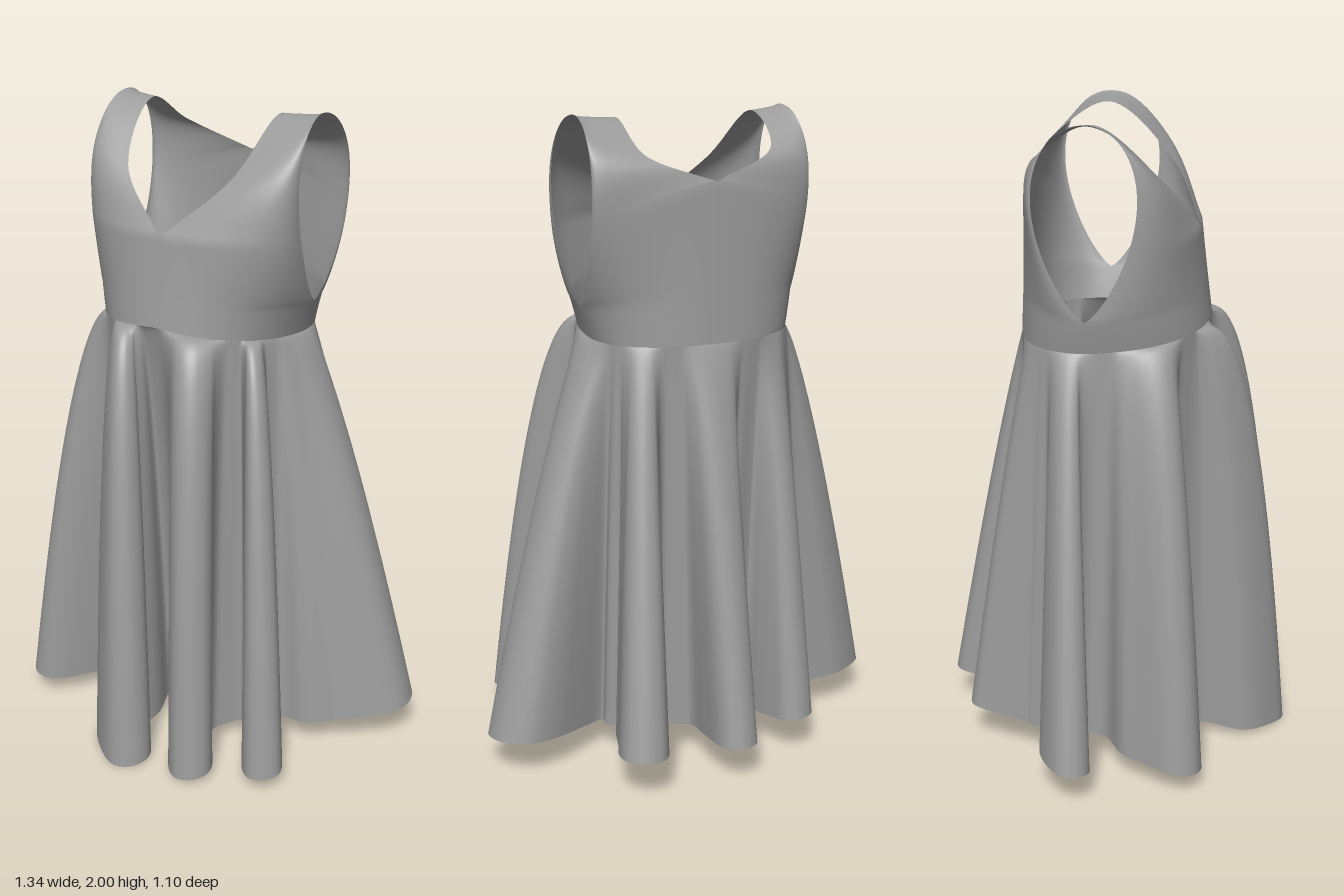
import * as THREE from 'three';
import { mergeGeometries, mergeVertices } from 'three/addons/utils/BufferGeometryUtils.js';

const { lerp, smoothstep } = THREE.MathUtils;
const CENTRE_X = -0.03, SIDE_Z = -0.06, WAIST_Y = 1.33, FRONT_RISE = 0.05;
const WAIST = { half: 0.32, front: 0.35, back: 0.23 };
const ROUND = 0.87; // below 1 squares the body's cross-section a little

const bulge = (v) => Math.sign(v) * Math.abs(v) ** ROUND;
const cloth = new THREE.MeshStandardMaterial({ color: 0x9c9c9c, side: THREE.DoubleSide });

// Surface from rows of points; flip turns the faces round
function gridGeometry(rows, flip) {
  const cols = rows[0].length, index = [];
  for (let k = 0; k < rows.length - 1; k++) {
    for (let j = 0; j < cols - 1; j++) {
      const a = k * cols + j, b = a + 1, c = a + cols, d = c + 1;
      if (flip) index.push(a, c, b, b, c, d);
      else index.push(a, b, c, b, d, c);
    }
  }
  const geo = new THREE.BufferGeometry().setFromPoints(rows.flat());
  geo.setIndex(index);
  return geo;
}

function smoothMesh(geo, name) {
  const welded = mergeVertices(geo, 1e-3);
  welded.computeVertexNormals();
  const mesh = new THREE.Mesh(welded, cloth);
  mesh.name = name;
  return mesh;
}

// Waist outline, raised at the front; angle 0 is the front, growing towards +x
function waistPoint(a) {
  const c = Math.cos(a);
  return new THREE.Vector3(
    CENTRE_X + WAIST.half * bulge(Math.sin(a)),
    WAIST_Y + FRONT_RISE * Math.max(0, 1 - Math.acos(c) * 2 / Math.PI),
    SIDE_Z + (c > 0 ? WAIST.front : WAIST.back) * bulge(c));
}

// Hem folds: valley x z, root x z, tip centre x z, half width, tip radius, sideways bend
const FOLDS = [
  [-0.05, 0.155, 0.115, 0.28, 0.2, 0.455, 0.05, 0.068, -0.015],
  [0.2, 0.2, 0.29, 0.2, 0.41, 0.37, 0.045, 0.062, 0],
  [0.32, 0.14, 0.35, 0, 0.555, -0.115, 0.13, 0.115, 0],
  [0.28, -0.18, 0.235, -0.26, 0.305, -0.465, 0.065, 0.075, 0],
  [0.11, -0.25, 0, -0.28, 0, -0.485, 0.055, 0.063, 0],
  [-0.11, -0.26, -0.255, -0.25, -0.25, -0.385, 0.1, 0.066, 0],
  [-0.38, -0.21, -0.43, -0.14, -0.615, -0.08, 0.045, 0.06, -0.025],
  [-0.37, -0.03, -0.395, 0.11, -0.485, 0.235, 0.09, 0.075, 0],
  [-0.21, 0.235, -0.105, 0.28, -0.025, 0.475, 0.06, 0.075, -0.055],
];

// Outline of one fold: round its valley, up one flank, round the tip, down the other
function foldOutline([vx, vz, rx, rz, tx, tz, width, radius, bend]) {
  const valley = new THREE.Vector2(vx, vz), root = new THREE.Vector2(rx, rz), tip = new THREE.Vector2(tx, tz);
  const sideways = (d) => new THREE.Vector2(d.y, -d.x).normalize();
  const across = sideways(tip.clone().sub(root));
  const mid = root.clone().lerp(tip, 0.5).addScaledVector(across, bend);
  const out = tip.clone().sub(mid).normalize(), tipAcross = sideways(out);
  const shift = (p, dir, d) => p.clone().addScaledVector(dir, d);
  const midWidth = (width + radius) / 2;
  const arc = [0, 1, 2, 3, 4].map((i) => shift(
    shift(tip, tipAcross, -radius * Math.cos(i * Math.PI / 4)), out, radius * Math.sin(i * Math.PI / 4)));
  return [
    shift(valley, sideways(valley), -0.03), shift(valley, sideways(valley), 0.03),
    shift(root, across, -width), shift(mid, across, -midWidth), ...arc,
    shift(mid, across, midWidth), shift(root, across, width),
  ];
}

function makeSkirt() {
  // Direction of each valley, always increasing round the body
  const valleys = [];
  for (const [x, z] of FOLDS) {
    const dz = z - SIDE_Z;
    let a = Math.atan2((x - CENTRE_X) / WAIST.half, dz / (dz > 0 ? WAIST.front : WAIST.back));
    if (valleys.length && a < valleys[valleys.length - 1]) a += Math.PI * 2;
    valleys.push(a);
  }
  valleys.push(valleys[0] + Math.PI * 2);

  // The hem dips at the front and lifts at the back and sides
  const hemPoints = FOLDS.flatMap(foldOutline)
    .map((p) => new THREE.Vector3(p.x, 0.058 - 0.11 * p.y + 0.06 * Math.abs(p.x), p.y));
  const hem = new THREE.CatmullRomCurve3(hemPoints, true);
  const cols = hemPoints.length * 4, perFold = cols / FOLDS.length, steps = 28, rows = [];
  for (let k = 0; k <= steps; k++) {
    const t = (k / steps) ** 1.7, row = [];
    for (let j = 0; j <= cols; j++) {
      // Cloth of each fold is spread evenly between its two valleys
      const f = Math.min(Math.floor(j / perFold), FOLDS.length - 1);
      const top = waistPoint(lerp(valleys[f], valleys[f + 1], j / perFold - f));
      const end = hem.getPoint((j % cols) / cols);
      const flare = t ** (0.72 - 0.43 * end.z - 0.34 * end.z ** 2); // front folds spring out sooner
      row.push(new THREE.Vector3(lerp(top.x, end.x, flare), lerp(top.y, end.y, t), lerp(top.z, end.z, flare)));
    }
    rows.push(row);
  }
  return smoothMesh(gridGeometry(rows, true), 'pleatedSkirt');
}

// Bodice rows run s = 0 (front waist) over the shoulder (7) to 14 (back waist)
const NECK = new THREE.CatmullRomCurve3([
  new THREE.Vector3(0, 1.65, 0.255), new THREE.Vector3(0.18, 1.82, 0.15),
  new THREE.Vector3(0.225, 1.985, -0.05),
  new THREE.Vector3(0.205, 1.89, -0.215), new THREE.Vector3(0, 1.81, -0.267),
]);

// Centre line up to the neckline, then along it
function innerEdge(s) {
  if (s > 3 && s < 11) return NECK.getPoint((s - 3) / 8);
  const waist = waistPoint(s < 7 ? 0 : Math.PI).setX(0);
  return waist.lerp(NECK.getPoint(s < 7 ? 0 : 1), Math.min(s, 14 - s) / 3);
}

// Side seam up to the armhole, then round its teardrop
function outerEdge(s) {
  const seam = Math.min(s, 14 - s, 1);
  const a = THREE.MathUtils.clamp((s - 1) / 12, 0, 1) * Math.PI * 2;
  return new THREE.Vector3(
    lerp(WAIST.half, 0.345, seam) + 0.012 * Math.abs(Math.sin(a)),
    lerp(WAIST_Y, 1.43, seam) + 0.57 * Math.abs(Math.sin(a / 2)) ** 1.35,
    SIDE_Z + 0.153 * Math.sin(a));
}

function bodiceHalf(side) {
  const steps = 84, cols = 32, rows = [];
  for (let k = 0; k <= steps; k++) {
    const s = k / 6, p = innerEdge(s), q = outerEdge(s), row = [];
    for (let j = 0; j <= cols; j++) {
      const a = (j / cols) * Math.PI / 2;
      const across = bulge(Math.sin(a)), depth = j === cols ? 0 : bulge(Math.cos(a));
      const middle = CENTRE_X * (1 - 0.6 * across * smoothstep(Math.min(s, 14 - s), 0, 3));
      row.push(new THREE.Vector3(
        middle + side * lerp(p.x, q.x, across), lerp(p.y, q.y, j / cols), lerp(q.z, p.z, depth)));
    }
    rows.push(row);
  }
  return gridGeometry(rows, side < 0);
}

export function createModel() {
  const dress = new THREE.Group();
  dress.name = 'dress';
  const bodice = mergeGeometries([bodiceHalf(1), bodiceHalf(-1)]);
  dress.add(smoothMesh(bodice, 'sleevelessBodice'), makeSkirt());
  return dress;
}
